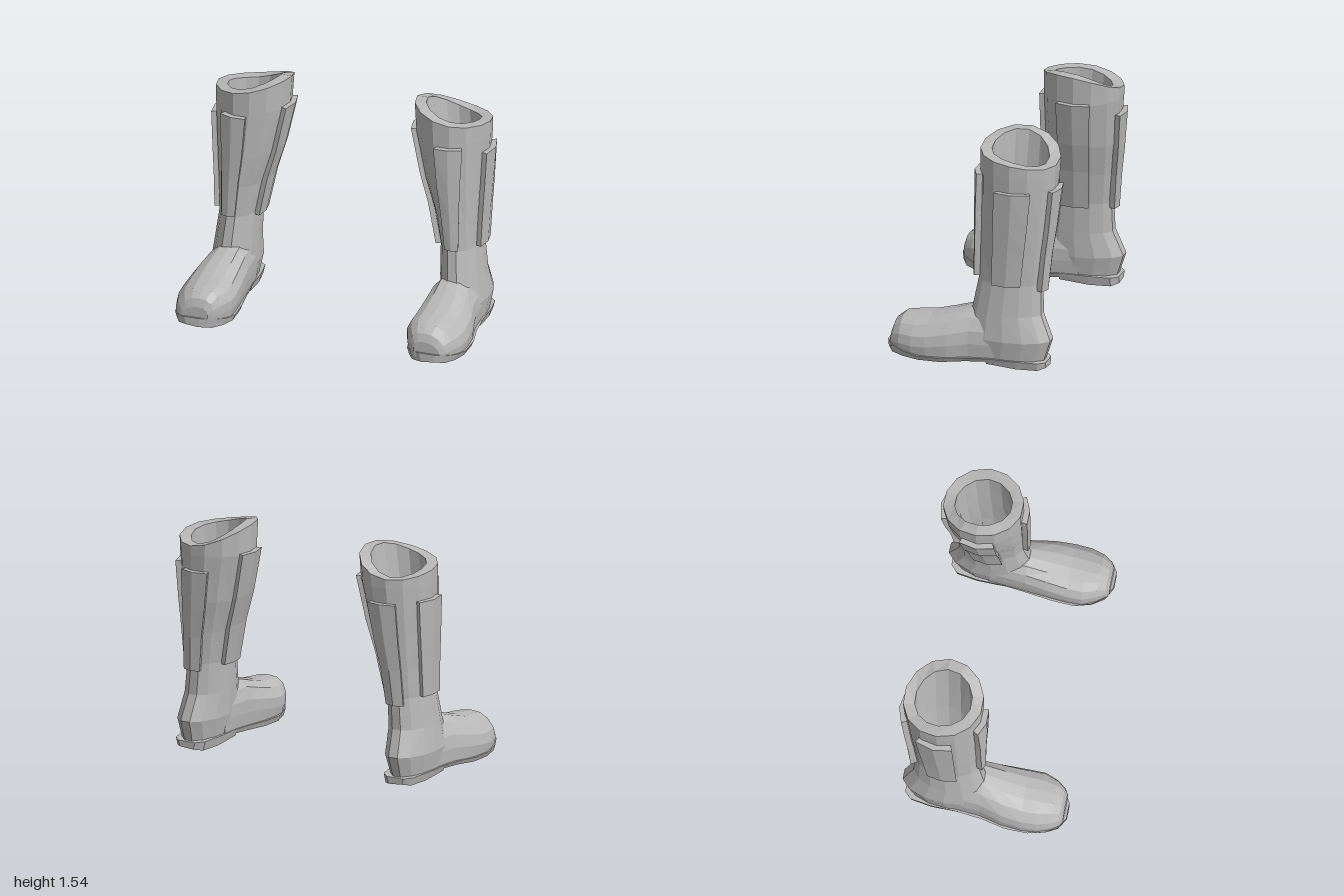
import * as THREE from 'three';

const grey = new THREE.MeshStandardMaterial({ color: 0xb8b8b8 });
grey.name = 'grey leather';

// Skin between cross-sections, closed at both ends, faceted; side -1 mirrors in x.
function loft(name, rings, side) {
  const pos = [];
  const tri = (a, b, c) => {
    for (const p of side > 0 ? [a, b, c] : [a, c, b]) pos.push(p[0] * side, p[1], p[2]);
  };
  const n = rings[0].length;
  for (let i = 0; i < rings.length - 1; i++) {
    for (let j = 0; j < n; j++) {
      const k = (j + 1) % n;
      const a = rings[i][j], b = rings[i][k], c = rings[i + 1][k], d = rings[i + 1][j];
      tri(a, d, c);
      tri(a, c, b);
    }
  }
  const middle = ring => [0, 1, 2].map(m => ring.reduce((t, p) => t + p[m], 0) / n);
  const first = rings[0], last = rings[rings.length - 1];
  const c0 = middle(first), c1 = middle(last);
  for (let j = 0; j < n; j++) {
    const k = (j + 1) % n;
    tri(c0, first[j], first[k]);
    tri(c1, last[k], last[j]);
  }
  const geometry = new THREE.BufferGeometry();
  geometry.setAttribute('position', new THREE.Float32BufferAttribute(pos, 3));
  geometry.computeVertexNormals();
  const mesh = new THREE.Mesh(geometry, grey);
  mesh.name = name;
  return mesh;
}

// Leg outline by height: y, inner x, outer x, back z, front z
const LEG = [
  [0.06, 0.67, 0.93, -0.49, 0.06],
  [0.20, 0.645, 0.95, -0.535, 0.06],
  [0.37, 0.64, 0.925, -0.465, 0.015],
  [0.58, 0.635, 0.9, -0.46, -0.025],
  [0.80, 0.59, 0.91, -0.485, -0.025],
  [1.02, 0.52, 0.925, -0.515, -0.02],
  [1.34, 0.447, 0.943, -0.545, -0.02],
  [1.60, 0.43, 0.947, -0.555, -0.02],
];

// Point on the leg surface at an angle (0 outer, 90 front, 180 inner, 270 back)
function legPoint(angle, y, offset = 0) {
  let i = 0;
  while (i < LEG.length - 2 && y > LEG[i + 1][0]) i++;
  const t = (y - LEG[i][0]) / (LEG[i + 1][0] - LEG[i][0]);
  const [, x0, x1, z0, z1] = LEG[i].map((v, m) => THREE.MathUtils.lerp(v, LEG[i + 1][m], t));
  return [
    (x0 + x1) / 2 + ((x1 - x0) / 2 + offset) * Math.cos(angle), y,
    (z0 + z1) / 2 + ((z1 - z0) / 2 + offset) * Math.sin(angle),
  ];
}

const SIDES = 14;
const rimHeight = a => 1.465 - 0.05 * Math.cos(a) + 0.035 * Math.sin(a) + 0.02 * Math.cos(2 * a);
const legRing = (height, offset) => Array.from({ length: SIDES }, (_, j) => {
  const a = (j / SIDES) * Math.PI * 2;
  return legPoint(a, typeof height === 'number' ? height : height(a), offset);
});

// Hollow leg: outside upward, over the sloping rim, then down the lining to the insole
function shaft(side) {
  const rings = LEG.slice(0, 7).map(r => legRing(r[0], 0));
  rings.push(legRing(rimHeight, 0), legRing(rimHeight, -0.075));
  rings.push(legRing(1.02, -0.06), legRing(0.62, -0.03), legRing(0.4, -0.03));
  return loft('shaft', rings, side);
}

// Raised strap following the leg, narrower at the foot end
function strap(name, side, top, bottom, angle, widthTop, widthBottom, skew = 0) {
  const rings = [0, 0.35, 0.62, 1].map(t => {
    const y = THREE.MathUtils.lerp(bottom, top, t);
    const half = THREE.MathUtils.lerp(widthBottom, widthTop, t) / 2;
    const mid = angle + skew * (1 - t);
    const at = (f, offset) => legPoint(THREE.MathUtils.degToRad(mid + f * half), y, offset);
    return [at(-1, 0.035), at(0, 0.038), at(1, 0.035), at(1, -0.035), at(0, -0.035), at(-1, -0.035)];
  });
  return loft(name, rings, side);
}

// Foot stations: z, inner x, outer x, bottom y, top y
const FOOT = [
  [-0.25, 0.66, 0.93, 0.06, 0.38],
  [0.0, 0.635, 0.95, 0.06, 0.385],
  [0.14, 0.622, 0.985, 0.05, 0.34],
  [0.28, 0.612, 0.998, 0.04, 0.30],
  [0.38, 0.612, 0.992, 0.04, 0.288],
  [0.47, 0.65, 0.965, 0.05, 0.278],
  [0.525, 0.69, 0.93, 0.06, 0.235],
  [0.545, 0.72, 0.9, 0.07, 0.18],
];
// Half of the rounded cross-section: width fraction, height fraction
const ARCH = [[0.94, 0], [1, 0.32], [0.96, 0.58], [0.74, 0.83], [0.4, 0.97]];

function foot(side) {
  const rings = FOOT.map(([z, x0, x1, y0, y1]) => {
    const c = (x0 + x1) / 2, w = (x1 - x0) / 2, h = y1 - y0;
    const peak = v => -0.03 * v * v;
    const inner = ARCH.map(([u, v]) => [c - u * w + peak(v), y0 + v * h, z]);
    const outer = ARCH.map(([u, v]) => [c + u * w + peak(v), y0 + v * h, z]).reverse();
    return [...inner, [c + peak(1), y1, z], ...outer];
  });
  return loft('foot', rings, side);
}

// Sole and heel slabs, slightly tucked in underneath
function slab(name, stations, side) {
  return loft(name, stations.map(([z, x0, x1, y0, y1]) => [
    [x0 + 0.015, y0, z], [x0, y1, z], [x1, y1, z], [x1 - 0.015, y0 + 0.008, z],
  ]), side);
}
const SOLE = [
  [-0.14, 0.65, 0.945, 0.042, 0.075],
  [0.02, 0.632, 0.962, 0.034, 0.07],
  [0.18, 0.612, 0.997, 0.022, 0.062],
  [0.33, 0.603, 1.0, 0.022, 0.062],
  [0.44, 0.63, 0.98, 0.03, 0.08],
  [0.52, 0.68, 0.94, 0.036, 0.1],
  [0.565, 0.76, 0.87, 0.048, 0.11],
];
const HEEL = [
  [-0.505, 0.735, 0.865, 0.012, 0.06],
  [-0.46, 0.685, 0.91, 0.002, 0.064],
  [-0.32, 0.66, 0.935, 0.006, 0.07],
  [-0.12, 0.65, 0.945, 0.026, 0.075],
];

function boot(name, side) {
  const group = new THREE.Group();
  group.name = name;
  group.add(
    shaft(side),
    foot(side),
    slab('sole', SOLE, side),
    slab('heel', HEEL, side),
    strap('frontStrap', side, 1.315, 0.6, 79, 40, 32, 8),
    strap('outerStrap', side, 1.245, 0.585, -5, 50, 46, 3),
    strap('innerStrap', side, 1.35, 0.565, 180, 46, 44),
    strap('backStrap', side, 1.235, 0.54, 273, 46, 44),
  );
  return group;
}

export function createModel() {
  const model = new THREE.Group();
  model.name = 'pair of boots';
  model.add(boot('leftBoot', 1), boot('rightBoot', -1));
  return model;
}
